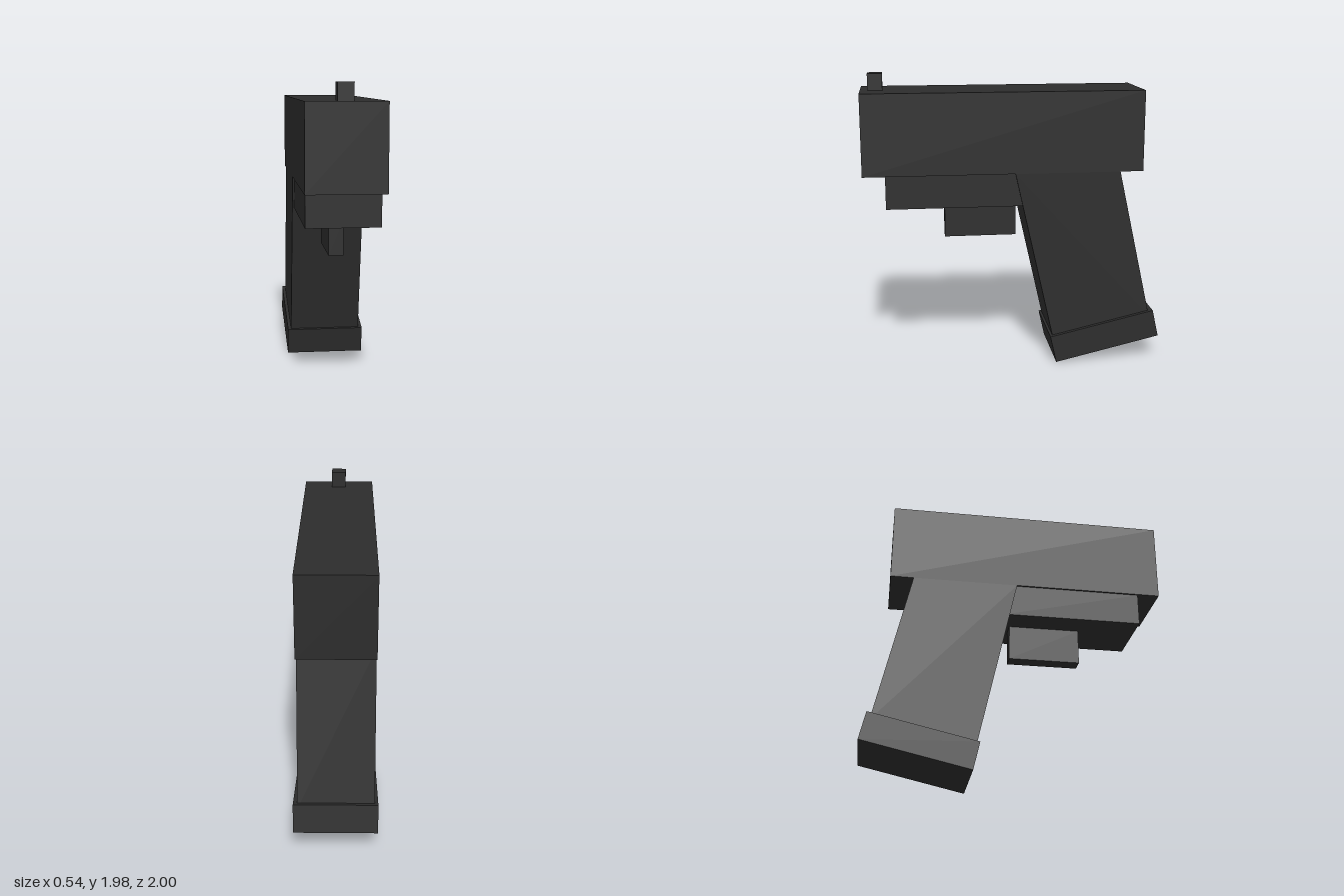
import * as THREE from 'three';

export function createModel() {
  const model = new THREE.Group();
  const charcoal = new THREE.MeshStandardMaterial({ color: 0x2c2c2c });
  charcoal.name = 'charcoal';

  const add = (name, geometry) => {
    const mesh = new THREE.Mesh(geometry, charcoal);
    mesh.name = name;
    model.add(mesh);
    return mesh;
  };
  // Box given by its lower and upper limits on each axis
  const block = (name, [x0, x1], [y0, y1], [z0, z1]) => {
    const mesh = add(name, new THREE.BoxGeometry(x1 - x0, y1 - y0, z1 - z0));
    mesh.position.set((x0 + x1) / 2, (y0 + y1) / 2, (z0 + z1) / 2);
  };

  const width = [-0.248, 0.243];
  block('slide', width, [1.332, 1.87], [-0.86, 1]);
  block('frontSight', [-0.052, 0.047], [1.86, 1.98], [0.853, 0.95]);
  block('lowerFrame', [-0.235, 0.23], [1.112, 1.332], [-0.08, 0.852]);
  block('triggerGuard', [-0.052, 0.047], [0.87, 1.112], [-0.025, 0.46]);

  // Slanted grip: side outline in (z, y), extruded across the width
  const outline = new THREE.Shape([
    [0, 1.332], [-0.705, 1.332], [-0.934, 0.305], [-0.266, 0.15],
  ].map(([z, y]) => new THREE.Vector2(z, y)));
  const gripGeometry = new THREE.ExtrudeGeometry(outline, { depth: width[1] - width[0], bevelEnabled: false });
  gripGeometry.rotateY(-Math.PI / 2).translate(width[1], 0, 0);
  add('grip', gripGeometry);

  // Base plate, square to the grip
  const base = add('gripBase', new THREE.BoxGeometry(0.54, 0.19, 0.733));
  base.position.set(0, 0.178, -0.618);
  base.rotation.x = 0.222;

  return model;
}
